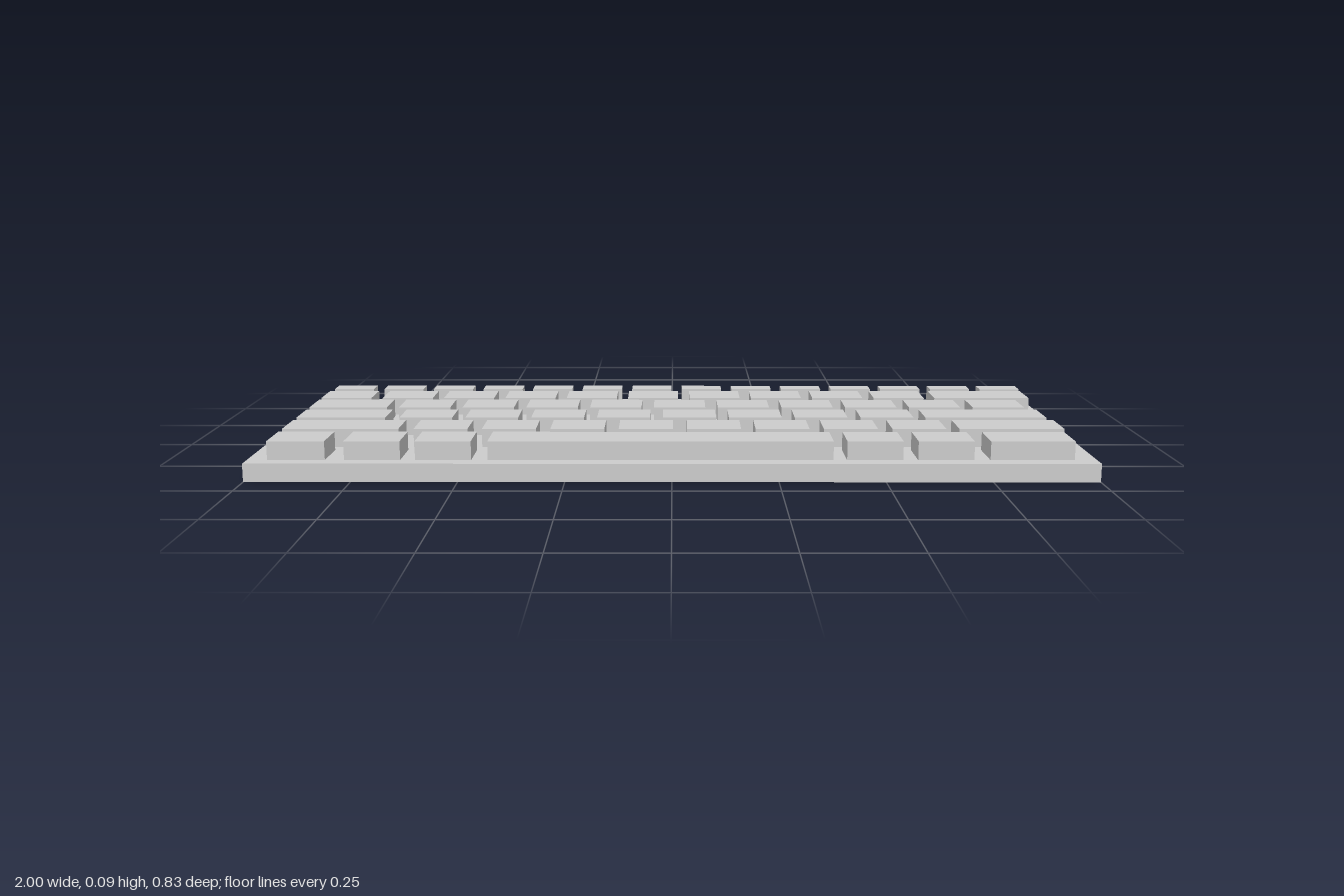
import * as THREE from 'three';

const BASE_H = 0.044, KEY_TOP = 0.089;

// Each row: z range, then runs of equal keys [left x, key width, count, pitch]
const ROWS = [
  { name: 'functionRow', z: [-0.381, -0.325], runs: [[-0.946, 0.11, 14, 0.139]] },
  { name: 'numberRow', z: [-0.297, -0.187], runs: [[-0.952, 0.136, 10, 0.1665], [0.711, 0.256]] },
  { name: 'upperLetterRow', z: [-0.162, -0.051], runs: [[-0.952, 0.204], [-0.717, 0.135, 10, 0.1673]] },
  { name: 'homeRow', z: [-0.023, 0.087], runs: [[-0.952, 0.225], [-0.691, 0.134, 8, 0.167], [0.642, 0.306]] },
  { name: 'lowerLetterRow', z: [0.117, 0.229], runs: [[-0.952, 0.284], [-0.631, 0.132, 8, 0.167], [0.702, 0.256]] },
  {
    name: 'bottomRow', z: [0.264, 0.375],
    runs: [[-0.952, 0.136], [-0.771, 0.132, 2, 0.167], [-0.433, 0.813], [0.412, 0.132, 2, 0.167], [0.749, 0.198]],
  },
];

export function createModel() {
  const material = new THREE.MeshStandardMaterial({ color: 0xcccccc, flatShading: true });
  const model = new THREE.Group();
  model.name = 'keyboard';

  // Box given by its lower and upper limits on each axis
  const box = (name, x0, x1, y0, y1, z0, z1) => {
    const mesh = new THREE.Mesh(new THREE.BoxGeometry(x1 - x0, y1 - y0, z1 - z0), material);
    mesh.position.set((x0 + x1) / 2, (y0 + y1) / 2, (z0 + z1) / 2);
    mesh.name = name;
    return mesh;
  };

  // Flat case
  model.add(box('case', -1, 1, 0, BASE_H, -0.414, 0.414));

  // Rows of keycaps
  for (const { name, z, runs } of ROWS) {
    const row = new THREE.Group();
    row.name = name;
    for (const [x, width, count = 1, pitch = 0] of runs) {
      for (let i = 0; i < count; i++) {
        const left = x + i * pitch;
        row.add(box(width > 0.5 ? 'spaceBar' : 'key', left, left + width, BASE_H, KEY_TOP, z[0], z[1]));
      }
    }
    model.add(row);
  }
  return model;
}
